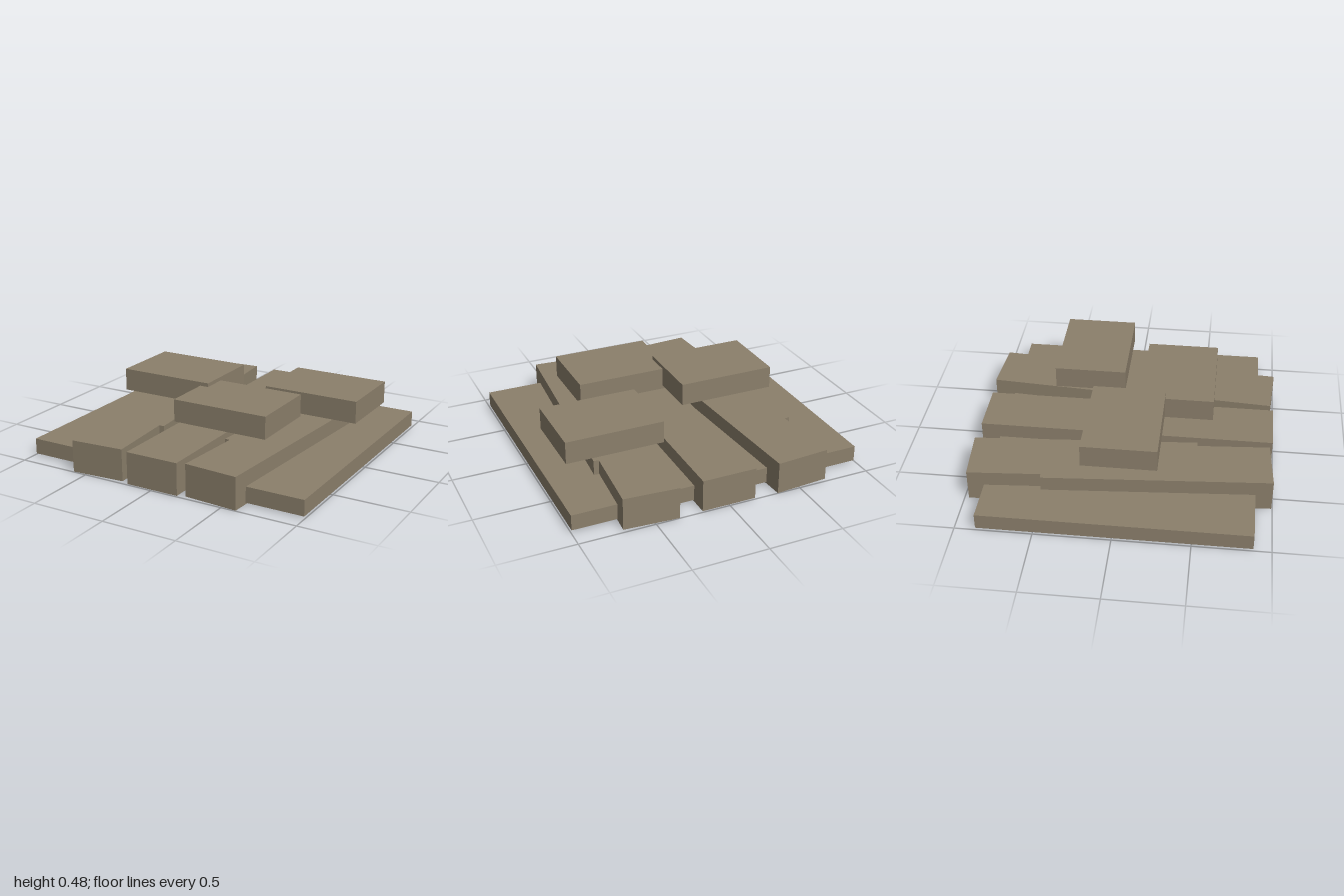
import * as THREE from 'three';

export function createModel() {
  const model = new THREE.Group();
  model.name = 'stoneSlabs';
  const stone = new THREE.MeshStandardMaterial({ color: 0x8b7f6b });
  stone.name = 'taupe stone';

  // Box given by its centre and size, optionally turned about the vertical axis
  function slab(name, [x, y, z], [w, h, d], turn = 0) {
    const mesh = new THREE.Mesh(new THREE.BoxGeometry(w, h, d), stone);
    mesh.name = name;
    mesh.position.set(x, y, z);
    mesh.rotation.y = turn;
    model.add(mesh);
  }

  // Wide low base
  slab('base', [0, 0.063, 0.01], [1.985, 0.105, 1.75]);

  // Straight middle beam
  slab('middleBeam', [0, 0.108, 0], [0.366, 0.215, 1.975]);

  // Outer beams: two overlapping, slightly offset lengths on each side
  for (const [side, s] of [['left', 1], ['right', -1]]) {
    slab(side + 'BeamBack', [s * 0.469, 0.108, -0.242], [0.364, 0.215, 1.49], -s * 0.072);
    slab(side + 'BeamFront', [s * 0.469, 0.108, 0.238], [0.364, 0.215, 1.49], -s * 0.072);
  }

  // Floating blocks above, each at its own height
  const blocks = [[-0.36, 0.404, 0.012], [0.24, 0.379, 0.335], [0.57, 0.343, -0.293]];
  blocks.forEach((p, i) => slab('upperBlock' + (i + 1), p, [0.66, 0.15, 0.49]));

  return model;
}
